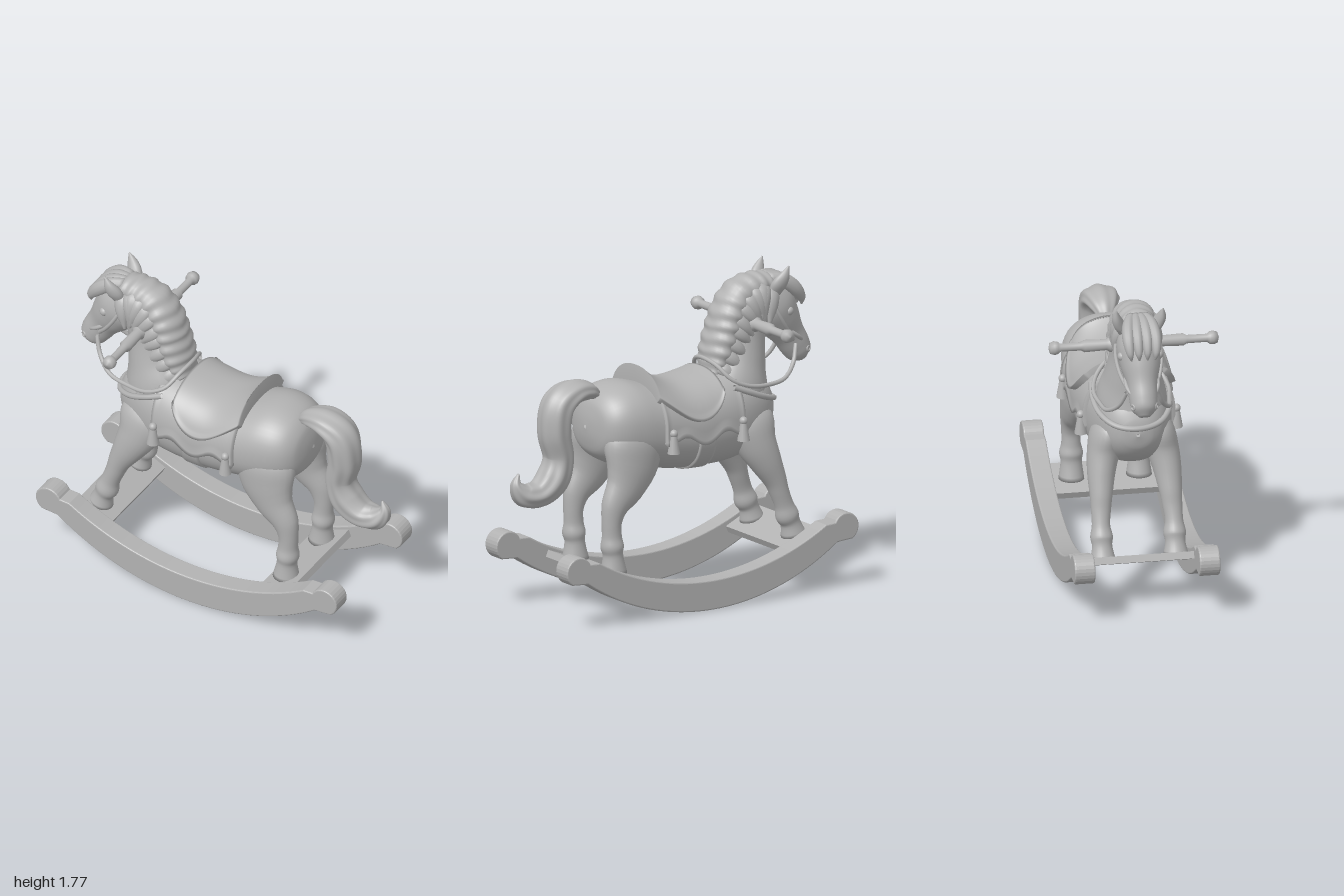
import * as THREE from 'three';

const gray = new THREE.MeshStandardMaterial({ color: 0xb2b2b2, side: THREE.DoubleSide });
gray.name = 'plain gray';
const clamp = THREE.MathUtils.clamp;
const spow = (v, p) => Math.sign(v) * Math.abs(v) ** p;

// Smooth surface from a rule p(i, j) on a grid; wrap closes it around j
function grid(nu, nv, wrap, p) {
  const pos = [], idx = [], cols = wrap ? nv : nv + 1;
  for (let i = 0; i <= nu; i++) for (let j = 0; j < cols; j++) pos.push(...p(i, j));
  for (let i = 0; i < nu; i++) for (let j = 0; j < nv; j++) {
    const k = (j + 1) % cols, a = i * cols + j, b = i * cols + k, c = a + cols, d = b + cols;
    idx.push(a, b, c, b, d, c);
  }
  const g = new THREE.BufferGeometry();
  g.setAttribute('position', new THREE.Float32BufferAttribute(pos, 3));
  g.setIndex(idx);
  g.computeVertexNormals();
  return g;
}

// Limb through stations [x, y, z, half depth, half width in z]
function loft(st, nu = 40, nv = 24, ripple = () => 1) {
  const path = new THREE.CatmullRomCurve3(st.map(s => new THREE.Vector3(s[0], s[1], s[2])));
  const size = new THREE.CatmullRomCurve3(st.map(s => new THREE.Vector3(s[3], s[4], 0)), false, 'catmullrom', 0.5);
  const side = new THREE.Vector3(0, 0, 1);
  return grid(nu + 2, nv, true, (i, j) => {
    const u = clamp((i - 1) / nu, 0, 1), cap = i === 0 || i === nu + 2 ? 0 : 1;
    const c = path.getPoint(u), r = size.getPoint(u), n = side.clone().cross(path.getTangent(u)).normalize();
    const th = j / nv * Math.PI * 2, k = cap * ripple(u, th);
    c.addScaledVector(n, Math.max(r.x, 0) * k * Math.cos(th)).addScaledVector(side, Math.max(r.y, 0) * k * Math.sin(th));
    return c.toArray();
  });
}

// Barrel stations: x, top, bottom, half width
const barrel = [
  [-0.67, 1.0, 0.98, 0.01], [-0.655, 1.07, 0.91, 0.08], [-0.6, 1.16, 0.83, 0.15], [-0.5, 1.22, 0.76, 0.2],
  [-0.35, 1.22, 0.72, 0.235], [-0.15, 1.2, 0.715, 0.255], [0, 1.19, 0.725, 0.26], [0.15, 1.215, 0.75, 0.265],
  [0.3, 1.25, 0.775, 0.265], [0.42, 1.225, 0.82, 0.235], [0.49, 1.16, 0.88, 0.165], [0.512, 1.08, 0.96, 0.07], [0.516, 1.03, 1.01, 0.01]];

// Smooth interpolation between barrel stations
function station(x, k) {
  const n = barrel.length;
  let i = 0;
  while (i < n - 2 && x > barrel[i + 1][0]) i++;
  const slope = m => {
    const a = barrel[Math.max(m - 1, 0)], b = barrel[Math.min(m + 1, n - 1)];
    return (b[k] - a[k]) / (b[0] - a[0]);
  };
  const a = barrel[i], b = barrel[i + 1], h = b[0] - a[0], t = clamp((x - a[0]) / h, 0, 1), q = t * t, c = q * t;
  return (2 * c - 3 * q + 1) * a[k] + (c - 2 * q + t) * h * slope(i) + (3 * q - 2 * c) * b[k] + (c - q) * h * slope(i + 1);
}

// Point on the barrel at angle th from the top, raised by off
function onBarrel(x, th, off = 0) {
  const top = station(x, 1), bot = station(x, 2), w = station(x, 3);
  return [x, (top + bot) / 2 + ((top - bot) / 2 + off) * spow(Math.cos(th), 0.88), (w + off) * spow(Math.sin(th), 0.88)];
}

// Cloth or leather lying on the barrel with its rim tucked in
function drape(x0, x1, reach, off, nu = 30, nv = 48) {
  return grid(nu, nv, false, (i, j) => {
    const u = clamp((i - 1) / (nu - 2), 0, 1), v = clamp((j - 1) / (nv - 2), 0, 1) * 2 - 1;
    const rim = i === 0 || j === 0 || i === nu || j === nv;
    return onBarrel(x0 + (x1 - x0) * u, v * reach(u), rim ? -0.015 : off(u, Math.abs(v)));
  });
}

const tube = (pts, r, closed = false) =>
  new THREE.TubeGeometry(new THREE.CatmullRomCurve3(pts.map(p => new THREE.Vector3(...p)), closed), 64, r, 8, closed);

export function createModel() {
  const model = new THREE.Group();
  const add = (name, geo, x = 0, y = 0, z = 0) => {
    const m = new THREE.Mesh(geo, gray);
    m.name = name;
    m.position.set(x, y, z);
    model.add(m);
    return m;
  };
  const both = fn => [1, -1].forEach(fn);

  // Body, neck and head
  add('body', grid(70, 48, true, (i, j) =>
    onBarrel(-0.077 - 0.593 * Math.cos(i / 70 * Math.PI), j / 48 * Math.PI * 2)));
  add('neck', loft([[-0.42, 1.0, 0, 0.2, 0.19], [-0.44, 1.14, 0, 0.2, 0.19], [-0.475, 1.27, 0, 0.155, 0.155],
    [-0.5, 1.4, 0, 0.135, 0.13], [-0.53, 1.53, 0, 0.14, 0.12], [-0.58, 1.64, 0, 0.08, 0.09], [-0.6, 1.69, 0, 0.02, 0.02]]));
  add('head', loft([[-0.57, 1.67, 0, 0.02, 0.02], [-0.61, 1.62, 0, 0.1, 0.09], [-0.68, 1.53, 0, 0.145, 0.122],
    [-0.745, 1.44, 0, 0.125, 0.108], [-0.8, 1.36, 0, 0.096, 0.083], [-0.845, 1.29, 0, 0.087, 0.077],
    [-0.875, 1.24, 0, 0.073, 0.068], [-0.897, 1.205, 0, 0.03, 0.03]]));

  // Mane with sweeping locks on both sides
  add('mane', loft([[-0.72, 1.64, 0, 0.02, 0.05], [-0.66, 1.66, 0, 0.055, 0.085], [-0.58, 1.655, 0, 0.075, 0.1],
    [-0.48, 1.62, 0, 0.085, 0.11], [-0.41, 1.53, 0, 0.085, 0.12], [-0.37, 1.42, 0, 0.085, 0.125],
    [-0.325, 1.3, 0, 0.075, 0.12], [-0.28, 1.21, 0, 0.04, 0.09]], 90, 24,
  (u, th) => 1 + 0.045 * Math.sin(u * 75 + 2 * Math.abs(Math.sin(th)))));
  const crest = new THREE.CatmullRomCurve3([[-0.66, 1.69], [-0.57, 1.72], [-0.45, 1.67], [-0.36, 1.55],
    [-0.31, 1.42], [-0.26, 1.28]].map(p => new THREE.Vector3(p[0], p[1], 0)));
  for (let i = 0; i < 11; i++) {
    const p = crest.getPoint(i / 10), t = crest.getTangent(i / 10), at = (d, drop) => [p.x - t.y * -1 * d, p.y - t.x * d - drop];
    both(s => add('maneLock', loft([[...at(0.02, 0), s * 0.035, 0.015, 0.015], [...at(0.05, 0.01), s * 0.085, 0.038, 0.03],
      [...at(0.1, 0.035), s * 0.113, 0.036, 0.026], [...at(0.17, 0.075), s * 0.118, 0.008, 0.008]], 14, 12)));
  }
  for (const z of [-0.065, -0.022, 0.022, 0.065])
    add('forelock', loft([[-0.65, 1.69, z * 0.6, 0.03, 0.03], [-0.73, 1.67, z, 0.04, 0.034],
      [-0.8, 1.62, z * 1.15, 0.04, 0.032], [-0.845, 1.56, z * 1.1, 0.025, 0.02], [-0.85, 1.52, z, 0.004, 0.004]], 20, 12));

  // Tail with combed ridges
  add('tail', loft([[0.43, 1.18, 0, 0.02, 0.03], [0.5, 1.22, 0, 0.047, 0.07], [0.6, 1.227, 0, 0.065, 0.1],
    [0.69, 1.165, 0, 0.085, 0.105], [0.715, 1.02, 0, 0.087, 0.1], [0.69, 0.87, 0, 0.08, 0.09],
    [0.735, 0.755, 0, 0.088, 0.095], [0.83, 0.69, 0, 0.072, 0.085], [0.92, 0.7, 0, 0.063, 0.065],
    [0.965, 0.76, 0, 0.033, 0.035], [0.95, 0.82, 0, 0.005, 0.005]], 80, 48,
  (u, th) => 1 + 0.045 * Math.sin(7 * th + 9 * u)));

  both(s => {
    // Legs ending in hooves
    add('frontLeg', loft([[-0.44, 1.04, s * 0.12, 0.06, 0.04], [-0.46, 0.95, s * 0.14, 0.14, 0.085], [-0.485, 0.83, s * 0.16, 0.12, 0.09],
      [-0.535, 0.72, s * 0.18, 0.093, 0.077], [-0.59, 0.61, s * 0.19, 0.066, 0.062], [-0.615, 0.54, s * 0.195, 0.055, 0.055],
      [-0.645, 0.46, s * 0.2, 0.053, 0.05], [-0.665, 0.4, s * 0.2, 0.066, 0.062], [-0.685, 0.355, s * 0.2, 0.055, 0.055],
      [-0.705, 0.29, s * 0.2, 0.07, 0.068]]));
    add('hindLeg', loft([[0.31, 1.1, s * 0.12, 0.08, 0.06], [0.31, 0.97, s * 0.15, 0.17, 0.107], [0.325, 0.83, s * 0.17, 0.165, 0.095],
      [0.375, 0.71, s * 0.18, 0.122, 0.077], [0.445, 0.61, s * 0.185, 0.082, 0.063], [0.468, 0.52, s * 0.185, 0.057, 0.054],
      [0.467, 0.44, s * 0.185, 0.055, 0.053], [0.465, 0.385, s * 0.185, 0.064, 0.065], [0.46, 0.335, s * 0.185, 0.055, 0.058],
      [0.455, 0.235, s * 0.185, 0.075, 0.07]]));

    // Ears, eyes, nostrils
    add('ear', loft([[-0.66, 1.61, s * 0.085, 0.035, 0.025], [-0.675, 1.66, s * 0.105, 0.044, 0.033],
      [-0.7, 1.71, s * 0.122, 0.032, 0.025], [-0.725, 1.765, s * 0.128, 0.003, 0.003]], 20, 16));
    add('eye', new THREE.SphereGeometry(0.026, 16, 12), -0.745, 1.505, s * 0.1);
    add('nostril', new THREE.TorusGeometry(0.014, 0.006, 8, 16), -0.895, 1.265, s * 0.064).rotation.y = -s * 0.5;

    // Handle with collar and round knob
    const grip = [[0, 0], [0.042, 0], [0.042, 0.03], [0.03, 0.05], [0.034, 0.17], [0.023, 0.19], [0.022, 0.3],
      [0.034, 0.315], [0.038, 0.335], [0.03, 0.358], [0, 0.367]].map(p => new THREE.Vector2(...p));
    add('handle', new THREE.LatheGeometry(grip, 24), -0.51, 1.47, s * 0.1).rotation.x = s * Math.PI / 2;

    // Cheek strap and brow strap
    add('cheekStrap', tube([[-0.785, 1.335, s * 0.082], [-0.73, 1.4, s * 0.112], [-0.67, 1.49, s * 0.125], [-0.62, 1.6, s * 0.105]], 0.011));

    // Tassels on the blanket corners
    for (const [x, z] of [[-0.34, 0.262], [0.13, 0.285]]) {
      add('tassel', new THREE.CylinderGeometry(0.018, 0.035, 0.1, 16), x, 0.925, s * z);
      add('tasselKnot', new THREE.SphereGeometry(0.023, 14, 10), x, 0.985, s * z);
    }
  });

  // Tack: noseband, reins and breast strap
  const ring = (cx, cy, a, b, tilt) => Array.from({ length: 16 }, (_, i) => {
    const t = i / 16 * Math.PI * 2, d = a * Math.cos(t);
    return [cx + d * Math.cos(tilt), cy + d * Math.sin(tilt), b * Math.sin(t)];
  });
  add('noseband', tube(ring(-0.795, 1.365, 0.1, 0.087, 0.63), 0.012, true));
  const mirrored = half => [...half, ...half.slice(0, -1).reverse().map(p => [p[0], p[1], -p[2]])];
  add('reins', tube(mirrored([[-0.8, 1.31, 0.085], [-0.76, 1.22, 0.12], [-0.67, 1.155, 0.17], [-0.55, 1.14, 0.19],
    [-0.42, 1.155, 0.205], [-0.32, 1.2, 0.175], [-0.27, 1.27, 0.1], [-0.25, 1.295, 0]]), 0.012));
  add('breastStrap', tube(mirrored([[-0.32, 1.16, 0.2], [-0.42, 1.12, 0.21], [-0.52, 1.08, 0.195],
    [-0.61, 1.05, 0.145], [-0.652, 1.035, 0.085], [-0.67, 1.03, 0]]), 0.016));

  // Blanket, girth and saddle
  add('blanket', drape(-0.36, 0.17, u => 1.7 + 0.09 * Math.cos(u * Math.PI * 4),
    (u, s) => 0.013 + 0.01 * clamp((s - 0.93) / 0.05, 0, 1) + 0.008 * clamp(Math.abs(u - 0.5) * 20 - 9, 0, 1), 40));
  add('girth', drape(-0.17, -0.06, () => Math.PI, () => 0.009, 10));
  add('saddle', drape(-0.24, 0.185, u => 0.85 + 0.5 * Math.sin(Math.PI * u ** 0.75),
    (u, s) => 0.03 + 0.016 * (1 - u) ** 4 + 0.065 * u ** 5 * (1 - s * s) + 0.008 * clamp((s - 0.9) / 0.08, 0, 1), 40));

  // Rockers with rounded ends
  const arc = (R, y0, reach, dir) => Array.from({ length: 33 }, (_, i) => {
    const d = dir * reach * (i / 16 - 1);
    return new THREE.Vector2(d, y0 + R - Math.sqrt(R * R - d * d));
  });
  const knob = (cx, a0, a1) => Array.from({ length: 17 }, (_, i) => {
    const a = a0 + (a1 - a0) * i / 16;
    return new THREE.Vector2(cx + 0.073 * Math.cos(a), 0.335 + 0.073 * Math.sin(a));
  });
  const rocker = new THREE.Shape([...arc(1.4, 0.008, 0.81, 1), ...knob(0.87, -1.0, 2.75),
    ...arc(1.46, 0.158, 0.74, -1), ...knob(-0.87, Math.PI - 2.75, Math.PI + 1.0)]);
  const rockerGeo = new THREE.ExtrudeGeometry(rocker, { depth: 0.097, bevelThickness: 0.008, bevelSize: 0.008, bevelSegments: 3 });
  both(s => add('rocker', rockerGeo, -0.05, 0, s * 0.342 - 0.0485));

  // Cross planks under the hooves
  add('frontPlank', new THREE.BoxGeometry(0.22, 0.04, 0.6), -0.7, 0.27, 0).rotation.z = -0.45;
  add('rearPlank', new THREE.BoxGeometry(0.23, 0.04, 0.6), 0.465, 0.218, 0).rotation.z = 0.37;

  return model;
}
